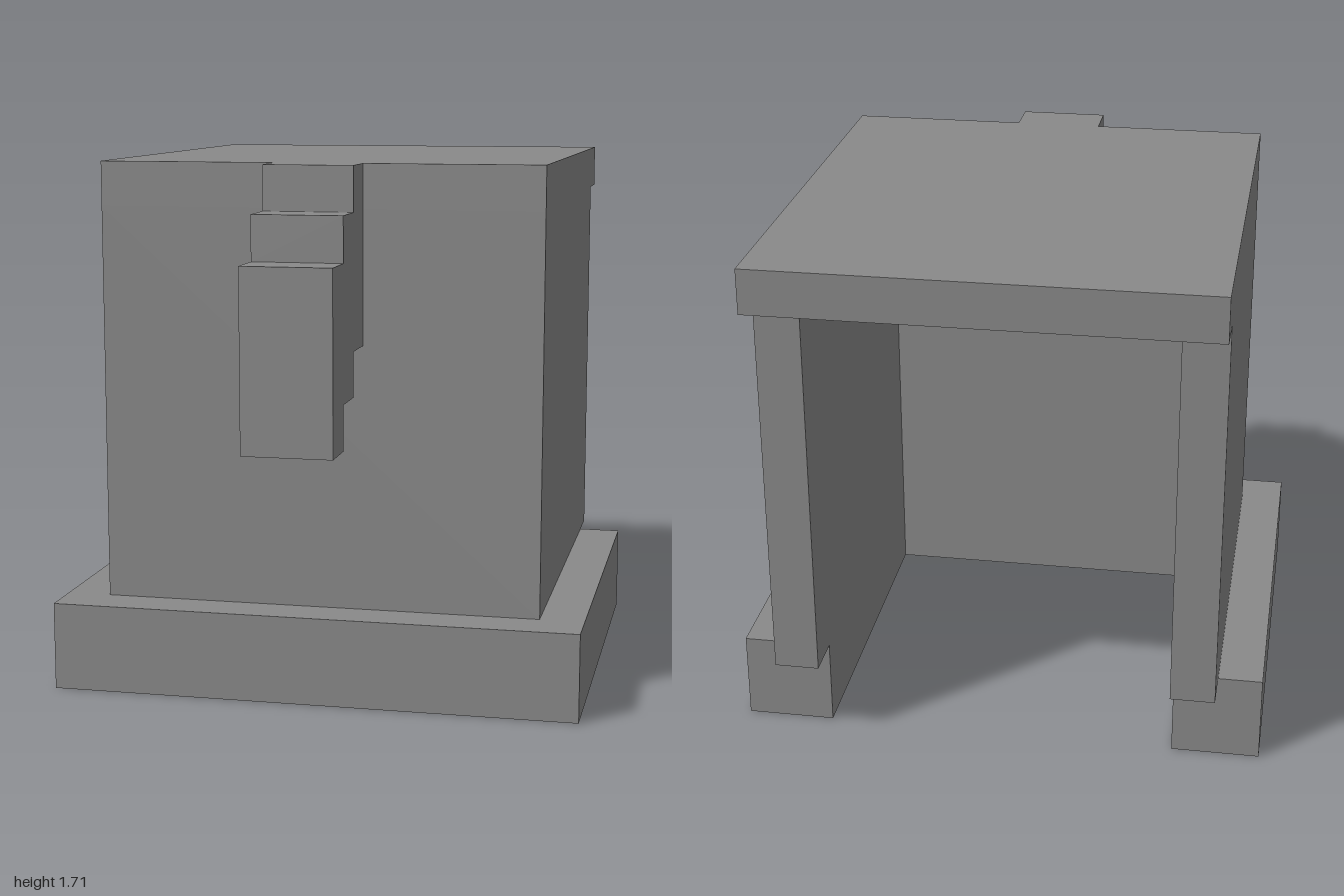
import * as THREE from 'three';

const U = 1 / 7; // block size

const grey = new THREE.MeshStandardMaterial({ color: 0x8a8a8a });
grey.name = 'stone grey';

function extrude(points, depth) {
  const shape = new THREE.Shape(points.map(([a, b]) => new THREE.Vector2(a * U, b * U)));
  return new THREE.ExtrudeGeometry(shape, { depth: depth * U, bevelEnabled: false });
}

// U-shaped wall, open at the back, around the 8-wide hollow
function uWall(halfWidth, front, back, y0, y1) {
  const plan = [
    [-halfWidth, back], [-halfWidth, front], [halfWidth, front], [halfWidth, back],
    [4, back], [4, 3], [-4, 3], [-4, back],
  ].map(([x, z]) => [x, -z]);
  return extrude(plan, y1 - y0).rotateX(-Math.PI / 2).translate(0, y0 * U, 0);
}

export function createModel() {
  const model = new THREE.Group();
  model.name = 'hollowBlockShell';
  const add = (name, geometry) => {
    const mesh = new THREE.Mesh(geometry, grey);
    mesh.name = name;
    model.add(mesh);
  };

  // Wide base rim and the walls above it
  add('baseRim', uWall(6, 5, -5, 0, 2));
  add('walls', uWall(5, 4, -6, 2, 11));

  // Flat roof overhanging the open back
  add('roof', new THREE.BoxGeometry(10 * U, U, 11 * U).translate(0, 11.5 * U, -1.5 * U));

  // Stepped spout on the front, profile in (z, y)
  const steps = [
    [4, 8], [5, 8], [5, 7], [6, 7], [6, 6], [7, 6],
    [7, 10], [6, 10], [6, 11], [5, 11], [5, 12], [4, 12],
  ];
  add('steppedSpout', extrude(steps, 2).rotateY(-Math.PI / 2).translate(U, 0, 0));

  return model;
}
